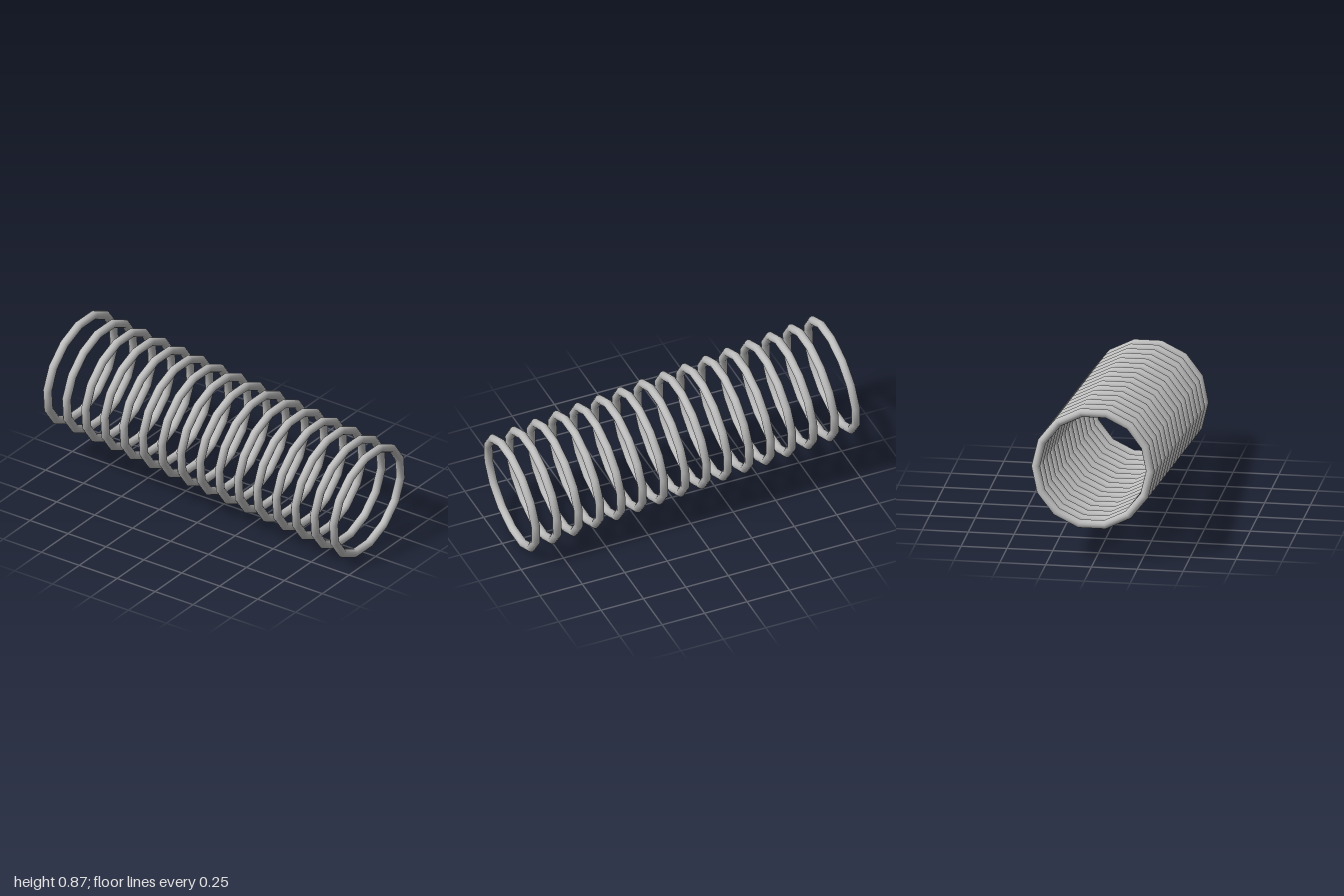
import * as THREE from 'three';

export function createModel() {
  const model = new THREE.Group();
  model.name = 'ringTunnel';
  const greyMetal = new THREE.MeshStandardMaterial({ color: 0xbebebe });
  greyMetal.name = 'greyMetal';

  // Fourteen-sided hoops, evenly spaced along a sloping axis
  const count = 16;
  const front = new THREE.Vector3(0, 0.327, 0.943);
  const back = new THREE.Vector3(0, 0.540, -0.943);
  const tilt = Math.atan2(back.y - front.y, front.z - back.z);
  const hoop = new THREE.TorusGeometry(0.3128, 0.024, 12, 14);

  for (let i = 0; i < count; i++) {
    const ring = new THREE.Mesh(hoop, greyMetal);
    ring.name = `ring${i + 1}`;
    ring.position.lerpVectors(front, back, i / (count - 1));
    ring.rotation.x = tilt; // square to the sloping axis
    model.add(ring);
  }
  return model;
}
